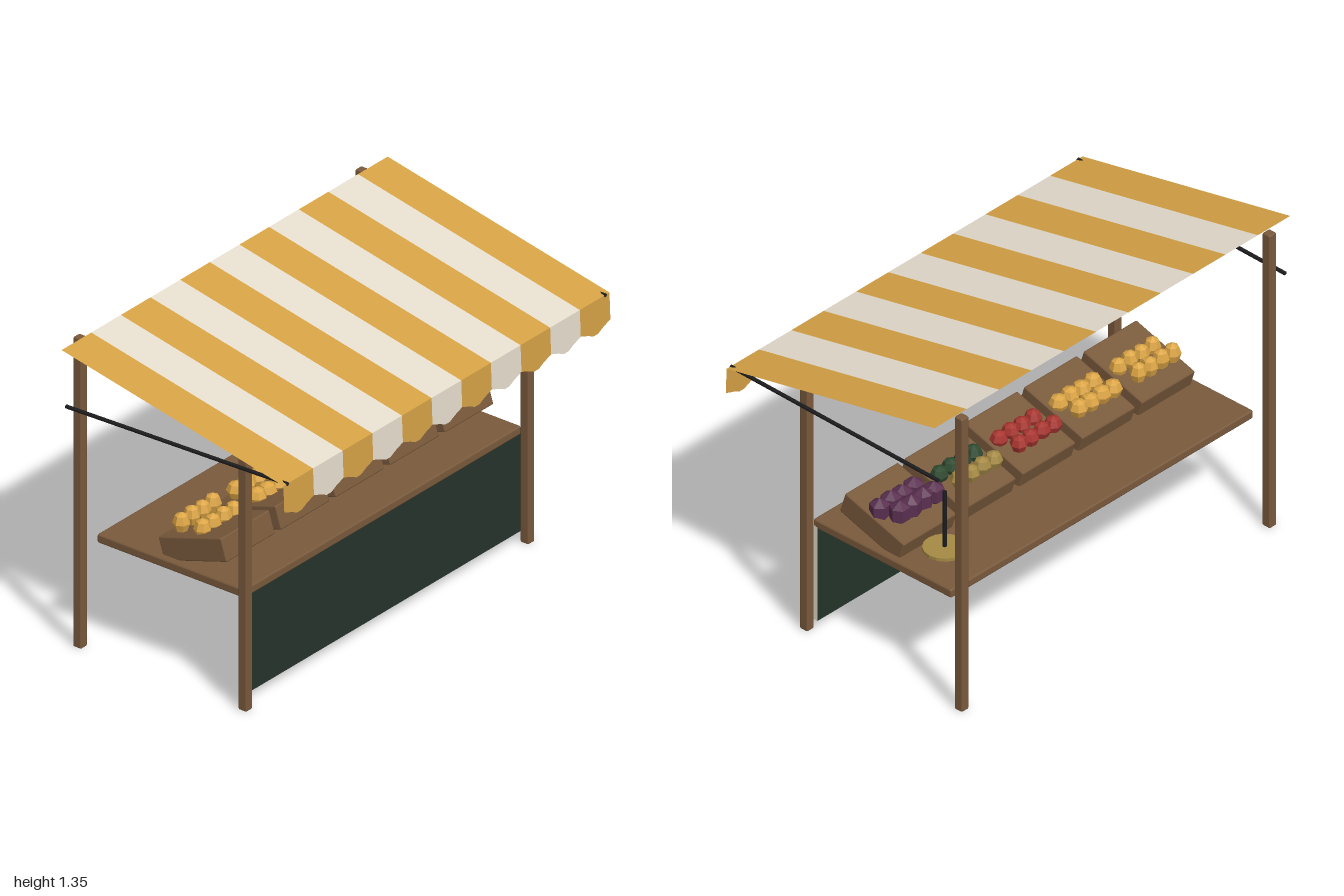
import * as THREE from 'three';
import { RoundedBoxGeometry } from 'three/addons/geometries/RoundedBoxGeometry.js';

const mat = (name, color, extra = {}) => {
  const m = new THREE.MeshStandardMaterial({ color, ...extra });
  m.name = name;
  return m;
};

export function createModel() {
  const stall = new THREE.Group();
  stall.name = 'marketStall';

  const wood = mat('wood', 0x7a5a3c);
  const yellow = mat('yellow', 0xd6a245, { side: THREE.DoubleSide });
  const cream = mat('cream', 0xe6dece, { side: THREE.DoubleSide });
  const green = mat('darkGreen', 0x24332a);
  const black = mat('blackIron', 0x1d1d1f);
  const brass = mat('brass', 0xa58a45, { flatShading: true });
  const fruitYellow = mat('fruitYellow', 0xdca545, { flatShading: true });
  const red = mat('red', 0xa83530, { flatShading: true });
  const purple = mat('purple', 0x5a2f50, { flatShading: true });
  const leaf = mat('leafGreen', 0x2f4a30, { flatShading: true });

  const add = (name, geometry, material, x, y, z, parent = stall) => {
    const mesh = new THREE.Mesh(geometry, material);
    mesh.name = name;
    mesh.position.set(x, y, z);
    parent.add(mesh);
    return mesh;
  };
  const box = (w, h, d, bevel = 0.006) => new RoundedBoxGeometry(w, h, d, 1, bevel);

  // Posts and the iron rods that hold the awning
  for (const side of [-1, 1]) {
    add('frontPost', box(0.04, 1.16, 0.04), wood, side * 0.865, 0.58, 0.267);
    add('backPost', box(0.04, 1.35, 0.04), wood, side * 0.865, 0.675, -0.545);
    const from = new THREE.Vector3(side * 0.975, 1.127, 0.563);
    const to = new THREE.Vector3(side * 0.975, 1.098, -0.525);
    const rod = add('awningRod', new THREE.CylinderGeometry(0.008, 0.008, from.distanceTo(to), 8), black, 0, 0, 0);
    rod.position.lerpVectors(from, to, 0.5);
    rod.quaternion.setFromUnitVectors(new THREE.Vector3(0, 1, 0), to.clone().sub(from).normalize());
  }

  // Counter with a cloth panel hung at the front
  add('counter', box(1.7, 0.038, 0.724, 0.008), wood, 0, 0.487, -0.113);
  add('frontCloth', new THREE.BoxGeometry(1.7, 0.435, 0.02),
    [cream, cream, green, green, green, green], 0, 0.2625, 0.235);

  // Striped awning: sloping strips, each ending in a scalloped flap
  const stripes = 11, width = 2 / stripes;
  const rise = 0.224, run = 1.09;
  const strip = new THREE.PlaneGeometry(width, Math.hypot(rise, run));
  strip.rotateX(-Math.atan2(run, rise));
  const flap = new THREE.Shape([
    [-0.5, 0], [-0.5, -0.115], [-0.25, -0.131], [-0.08, -0.146],
    [0.08, -0.146], [0.25, -0.131], [0.5, -0.115], [0.5, 0],
  ].map(([u, y]) => new THREE.Vector2(u * width, y)));
  const flapGeometry = new THREE.ShapeGeometry(flap);
  flapGeometry.rotateX(-0.04);
  for (let i = 0; i < stripes; i++) {
    const x = -1 + (i + 0.5) * width;
    const color = i % 2 ? cream : yellow;
    add('awningStripe', strip, color, x, 1.129 + rise / 2, 0.562 - run / 2);
    add('awningFlap', flapGeometry, color, x, 1.129, 0.562);
  }

  // Tilted crates, each with two rows of produce
  const crateGeometry = box(0.298, 0.1, 0.325, 0.007);
  const produce = [
    { name: 'pear', back: fruitYellow, front: fruitYellow, r: 0.036, tall: 1.25 },
    { name: 'orange', back: fruitYellow, front: fruitYellow, r: 0.04, tall: 1 },
    { name: 'apple', back: red, front: red, r: 0.037, tall: 1 },
    { name: 'melon', back: brass, front: leaf, r: 0.038, tall: 1 },
    { name: 'plum', back: purple, front: purple, r: 0.048, tall: 1.1 },
  ];
  produce.forEach(({ name, back, front, r, tall }, i) => {
    const x = (i - 2) * 0.335;
    const crate = add('crate', crateGeometry, wood, x, 0.575, -0.03);
    crate.rotation.x = -0.303;
    const fruit = new THREE.SphereGeometry(r, name === 'plum' ? 6 : 7, name === 'plum' ? 3 : 4);
    fruit.scale(1, tall, 1);
    for (let k = 0; k < 4; k++) {
      const dx = (k - 1.5) * 0.064;
      const backY = name === 'plum' ? 0.657 : 0.645;
      add(name, fruit, back, x + dx - 0.008, backY + (k % 2) * 0.004, -0.12).rotation.y = k * 0.7;
      add(name, fruit, front, x + dx + 0.008, 0.634 + r * 0.2 - (k % 2) * 0.004, -0.03).rotation.y = k * 1.1;
    }
  });

  // Weighing pan with its upright
  add('scalePan', new THREE.CylinderGeometry(0.087, 0.087, 0.014, 16), brass, 0.7, 0.551, -0.302);
  add('scalePole', new THREE.CylinderGeometry(0.008, 0.008, 0.26, 8), black, 0.7, 0.683, -0.302);

  return stall;
}
